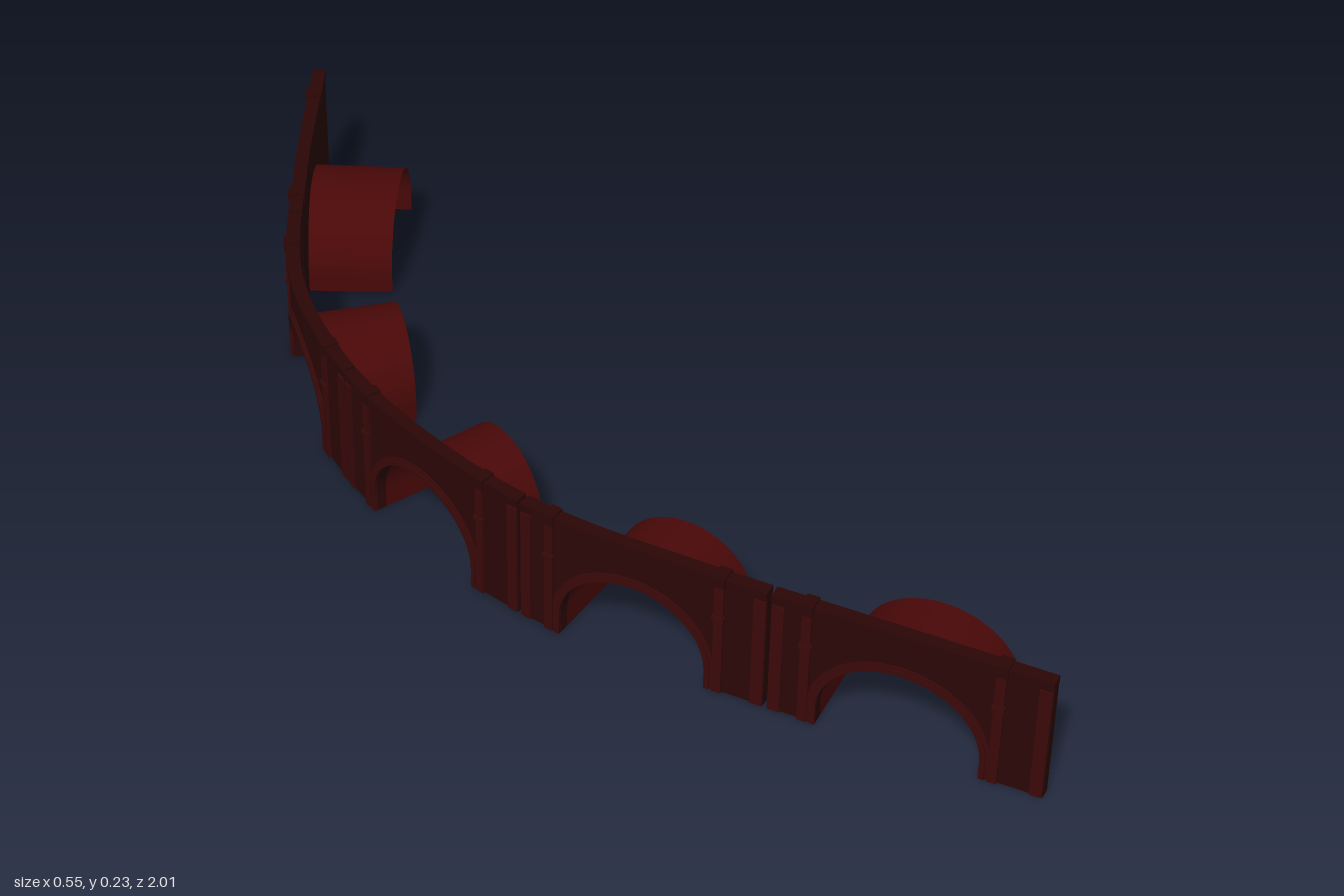
import * as THREE from 'three';

const wallMat = new THREE.MeshStandardMaterial({ color: 0x2c0606 });
const trimMat = new THREE.MeshStandardMaterial({ color: 0x3a0808 });
const vaultMat = new THREE.MeshStandardMaterial({ color: 0x4a0808, side: THREE.DoubleSide });

// Plan of the wall: x at equal steps of z from -1 to 1
const planX = [0.212, 0.005, -0.172, -0.248, -0.256, -0.213, -0.108, 0.015, 0.14];
const plan = new THREE.CatmullRomCurve3(
  planX.map((x, i) => new THREE.Vector3(x, 0, -1 + i * 0.25)), false, 'catmullrom');

// Point on the wall at z, height y, distance d towards the outer side
function onWall(z, y, d) {
  const t = THREE.MathUtils.clamp((z + 1) / 2, 0, 1);
  const p = plan.getPoint(t), g = plan.getTangent(t);
  return [p.x - g.z * d, y, p.z + g.x * d];
}

// Closed solid along the wall; each station is [zLow, yLow, zHigh, yHigh]
function band(name, stations, d0, d1, material) {
  const pos = [];
  const rings = stations.map(([za, ya, zb, yb]) =>
    [onWall(za, ya, d1), onWall(zb, yb, d1), onWall(zb, yb, d0), onWall(za, ya, d0)]);
  const quad = (a, b, c, d) => pos.push(...a, ...b, ...c, ...a, ...c, ...d);
  for (let i = 0; i < rings.length - 1; i++) {
    const r = rings[i], s = rings[i + 1];
    for (let k = 0; k < 4; k++) quad(r[k], s[k], s[(k + 1) % 4], r[(k + 1) % 4]);
  }
  const a = rings[0], b = rings[rings.length - 1];
  quad(a[3], a[0], a[1], a[2]);
  quad(b[2], b[1], b[0], b[3]);
  const geo = new THREE.BufferGeometry();
  geo.setAttribute('position', new THREE.Float32BufferAttribute(pos, 3));
  geo.computeVertexNormals();
  const mesh = new THREE.Mesh(geo, material);
  mesh.name = name;
  return mesh;
}

// Straight band of constant height
function strip(name, z0, z1, y0, y1, d0, d1, material, n = 1) {
  const st = [];
  for (let i = 0; i <= n; i++) {
    const z = z0 + (z1 - z0) * i / n;
    st.push([z, y0, z, y1]);
  }
  return band(name, st, d0, d1, material);
}

const SPRING = 0.035, CROWN = 0.148, TOP = 0.222, HALF = 0.009, STEPS = 28;

// Arch outline from foot to foot, grown outwards by w
function archPoints(z0, z1, w) {
  const c = (z0 + z1) / 2, r = (z1 - z0) / 2 + w, h = CROWN - SPRING + w;
  const pts = [[c - r, 0]];
  for (let i = 0; i <= STEPS; i++) {
    const a = Math.PI * i / STEPS;
    pts.push([c - r * Math.cos(a), SPRING + h * Math.sin(a)]);
  }
  pts.push([c + r, 0]);
  return pts;
}

// Open barrel vault from the arch in the wall to its inner end
function vault(z0, z1, endA, endB) {
  const outline = archPoints(z0, z1, 0), pos = [], idx = [];
  outline.forEach(([z, y], i) => {
    const t = (z - z0) / (z1 - z0);
    pos.push(...onWall(z, y, HALF));
    pos.push(endA[0] + (endB[0] - endA[0]) * t, y, endA[1] + (endB[1] - endA[1]) * t);
    if (i) {
      const k = 2 * i;
      idx.push(k - 2, k, k + 1, k - 2, k + 1, k - 1);
    }
  });
  const geo = new THREE.BufferGeometry();
  geo.setAttribute('position', new THREE.Float32BufferAttribute(pos, 3));
  geo.setIndex(idx);
  geo.computeVertexNormals();
  const mesh = new THREE.Mesh(geo, vaultMat);
  mesh.name = 'vault';
  return mesh;
}

// Bay ends along z, arch feet along z, plan corners [x, z] of the vault's inner end
const bays = [
  { from: -1, to: -0.652, arch: [-0.92, -0.715], a: [0.272, -0.808], b: [0.098, -0.618] },
  { from: -0.646, to: -0.228, arch: [-0.56, -0.32], a: [0.003, -0.486], b: [-0.077, -0.296] },
  { from: -0.222, to: 0.202, arch: [-0.135, 0.108], a: [-0.087, -0.132], b: [-0.098, 0.085] },
  { from: 0.208, to: 0.598, arch: [0.28, 0.51], a: [-0.045, 0.222], b: [0.045, 0.438] },
  { from: 0.604, to: 1, arch: [0.675, 0.91], a: [0.13, 0.597], b: [0.245, 0.83] },
];

export function createModel() {
  const model = new THREE.Group();
  model.name = 'curvedArcade';
  for (const { from, to, arch: [z0, z1], a, b } of bays) {
    const bay = new THREE.Group();
    bay.name = 'archBay';

    // Wall: two piers and the part above the arch
    bay.add(strip('pier', from, z0, 0, TOP, -HALF, HALF, wallMat, 5));
    bay.add(strip('pier', z1, to, 0, TOP, -HALF, HALF, wallMat, 5));
    const over = archPoints(z0, z1, 0).slice(1, -1).map(([z, y]) => [z, y, z, TOP]);
    bay.add(band('spandrel', over, -HALF, HALF, wallMat));

    // Moulding round the arch, in two steps
    [[0.008, 0.005], [0.014, 0.0025]].forEach(([w, d]) => {
      const outer = archPoints(z0, z1, w);
      const ring = archPoints(z0, z1, 0).map((p, i) => [...p, ...outer[i]]);
      bay.add(band('archMoulding', ring, HALF - 0.002, HALF + d, trimMat));
    });

    // Coping along the top
    bay.add(strip('coping', from, to, 0.212, TOP + 0.002, -HALF - 0.002, HALF + 0.003, wallMat, 16));

    // Pilasters beside the arch, with caps rising over the coping
    for (const z of [z0 - 0.019, z1 + 0.019]) {
      bay.add(strip('pilaster', z - 0.007, z + 0.007, 0, 0.22, HALF - 0.002, HALF + 0.005, trimMat));
      bay.add(strip('pilasterBand', z - 0.009, z + 0.009, 0.143, 0.151, HALF - 0.002, HALF + 0.008, trimMat));
      bay.add(strip('pilasterCap', z - 0.009, z + 0.009, 0.208, 0.228, -HALF - 0.003, HALF + 0.007, wallMat));
    }

    // Edge pilasters at the joints between bays
    for (const z of [from + 0.01, to - 0.01]) {
      bay.add(strip('jointPilaster', z - 0.009, z + 0.009, 0, 0.205, HALF - 0.002, HALF + 0.003, trimMat));
    }

    bay.add(vault(z0, z1, a, b));
    model.add(bay);
  }
  return model;
}
